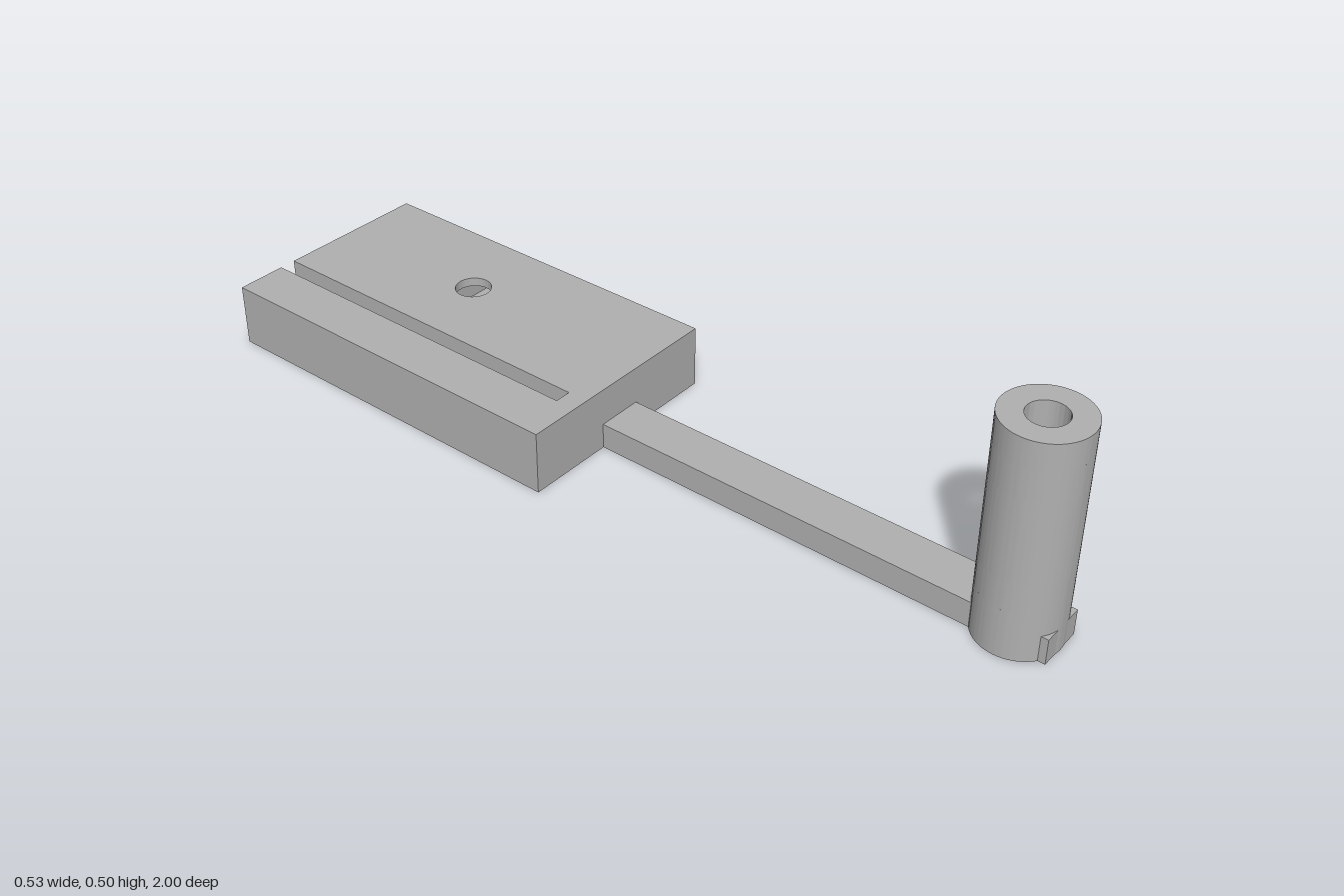
import * as THREE from 'three';
import { toCreasedNormals } from 'three/addons/utils/BufferGeometryUtils.js';

const BORE = 0.042;                  // screw hole radius
const NUT = 0.079;                   // half width of a nut pocket
const NUT_R = NUT * 2 / Math.sqrt(3); // corner radius of the hexagonal nut

export function createModel() {
  const model = new THREE.Group();
  const grey = new THREE.MeshStandardMaterial({ color: 0xb0b0b0 });
  grey.name = 'grey plastic';

  // Plan shapes are drawn as [x, z] and extruded upwards from y0 to y1
  const plan = (points) => new THREE.Shape(points.map(([x, z]) => new THREE.Vector2(x, -z)));
  const withHole = (shape, x, z) => {
    shape.holes.push(new THREE.Path().absarc(x, -z, BORE, 0, Math.PI * 2, true));
    return shape;
  };
  const layer = (parent, name, shape, y0, y1) => {
    const geo = new THREE.ExtrudeGeometry(shape, {
      depth: y1 - y0, bevelEnabled: false, curveSegments: 48,
    });
    geo.rotateX(-Math.PI / 2).translate(0, y0, 0);
    const mesh = new THREE.Mesh(toCreasedNormals(geo, 0.5), grey);
    mesh.name = name;
    parent.add(mesh);
  };

  // Pocket end: the far half of a hexagon, pointing towards -x
  const nutEnd = (x, z) => [
    [x - NUT_R / 2, z + NUT], [x - NUT_R, z], [x - NUT_R / 2, z - NUT],
  ];

  // Slotted block with a nut pocket opening on its left side
  const block = new THREE.Group();
  block.name = 'slottedBlock';
  model.add(block);
  const W = 0.264, back = -1, front = -0.08, hx = 0.077, hz = -0.587;
  const blockPlan = (pocket) => plan([
    [-W, back], [-W, front], [W, front],
    ...(pocket ? [[W, hz + NUT], ...nutEnd(hx, hz), [W, hz - NUT]] : []),
    [W, back], [-0.106, back], [-0.106, -0.13], [-0.145, -0.13], [-0.145, back],
  ]);
  layer(block, 'blockBottom', withHole(blockPlan(false), hx, hz), 0, 0.06);
  layer(block, 'blockPocketLayer', blockPlan(true), 0.06, 0.127);
  layer(block, 'blockTop', withHole(blockPlan(false), hx, hz), 0.127, 0.148);

  // Hollow post with two nut pockets
  const post = new THREE.Group();
  post.name = 'post';
  model.add(post);
  const R = 0.0925, pz = 1 - R;
  const ring = () => withHole(new THREE.Shape().absarc(0, -pz, R, 0, Math.PI * 2, false), 0, pz);
  const notched = () => {
    const a = Math.asin(NUT / R), steps = 60, points = [];
    for (let i = 0; i <= steps; i++) {
      const t = a + (Math.PI * 2 - 2 * a) * i / steps;
      points.push([R * Math.cos(t), pz - R * Math.sin(t)]);
    }
    return plan([...points, ...nutEnd(0, pz)]);
  };
  const levels = [0, 0.111, 0.178, 0.37, 0.438, 0.498];
  for (let i = 0; i < 5; i++) {
    const open = i % 2 === 1;
    layer(post, open ? 'postNutPocket' : 'postTube', open ? notched() : ring(), levels[i], levels[i + 1]);
  }

  // Arm joining the block and the post, bored through below the post
  const arm = plan([[-0.055, front], [-0.055, 0.998], [0.055, 0.998], [0.055, front]]);
  layer(model, 'arm', withHole(arm, 0, pz), 0, 0.06);

  return model;
}
